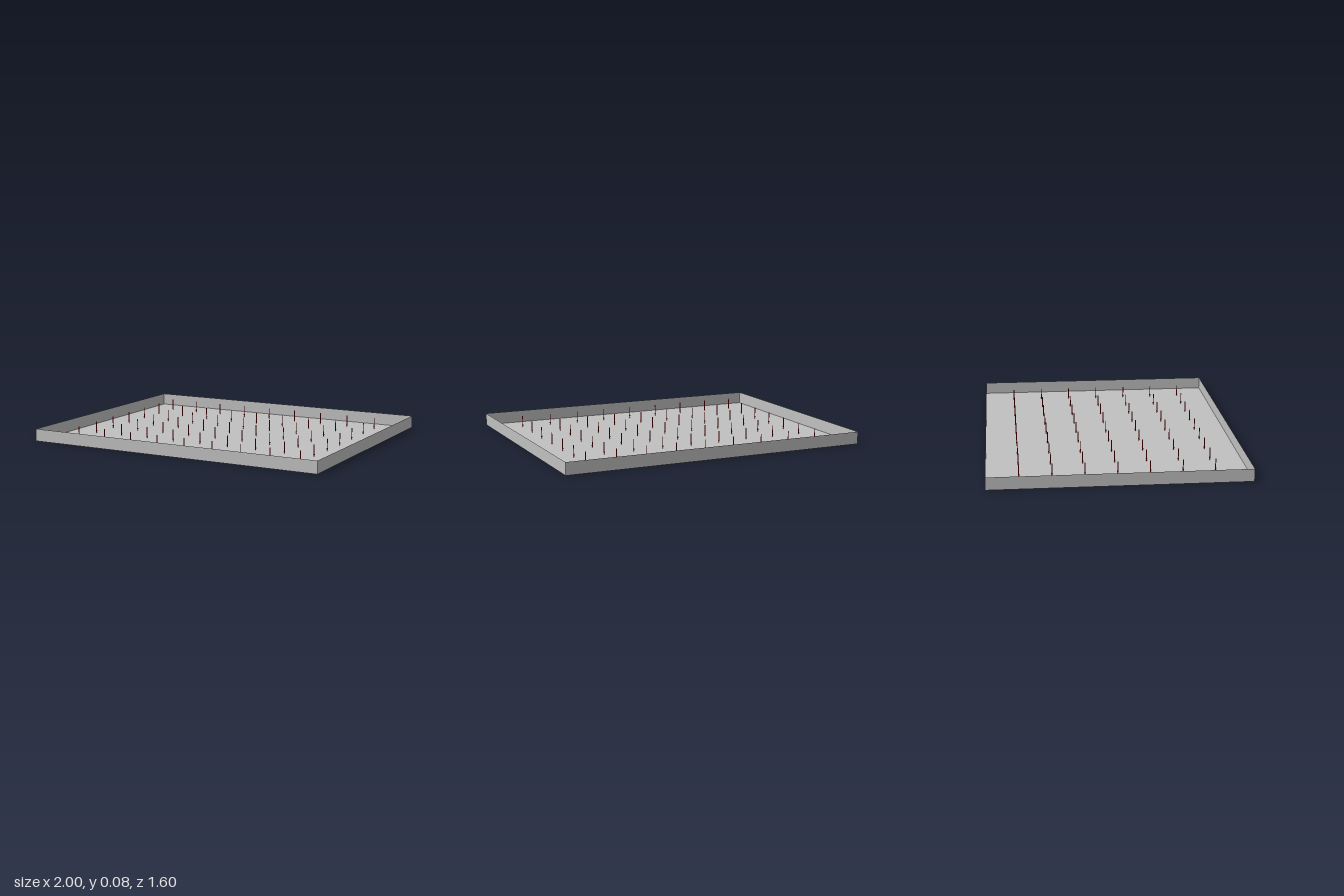
import * as THREE from 'three';

const W = 2, D = 1.6, H = 0.08;

export function createModel() {
  const model = new THREE.Group();
  model.name = 'trayWithArrows';

  const trayGrey = new THREE.MeshStandardMaterial({ color: 0xc0c0c0, side: THREE.DoubleSide });
  trayGrey.name = 'trayGrey';
  const arrowRed = new THREE.MeshStandardMaterial({ color: 0xc41414 });
  arrowRed.name = 'arrowRed';

  const add = (parent, name, geometry, material) => {
    const mesh = new THREE.Mesh(geometry, material);
    mesh.name = name;
    parent.add(mesh);
    return mesh;
  };

  // Sheet floor
  add(model, 'floor', new THREE.PlaneGeometry(W, D).rotateX(-Math.PI / 2), trayGrey);

  // Four sheet walls, facing outward
  const walls = [
    ['frontWall', W, 0, D / 2, 0],
    ['leftWall', D, W / 2, 0, Math.PI / 2],
    ['backWall', W, 0, -D / 2, Math.PI],
    ['rightWall', D, -W / 2, 0, -Math.PI / 2],
  ];
  for (const [name, width, x, z, turn] of walls) {
    const wall = add(model, name, new THREE.PlaneGeometry(width, H), trayGrey);
    wall.position.set(x, H / 2, z);
    wall.rotation.y = turn;
  }

  // Grid of small arrows pointing down at the floor
  const headLength = 0.02;
  const shaftLength = H - headLength;
  const shaft = new THREE.CylinderGeometry(0.003, 0.003, shaftLength, 8)
    .translate(0, headLength + shaftLength / 2, 0);
  const head = new THREE.ConeGeometry(0.0055, headLength, 8)
    .rotateX(Math.PI)
    .translate(0, headLength / 2, 0);

  for (let i = -4; i <= 4; i++) {
    for (let j = -3; j <= 3; j++) {
      const arrow = new THREE.Group();
      arrow.name = 'arrow';
      add(arrow, 'arrowShaft', shaft, arrowRed);
      add(arrow, 'arrowHead', head, arrowRed);
      arrow.position.set(i * 0.2, 0, j * 0.2);
      model.add(arrow);
    }
  }

  return model;
}
